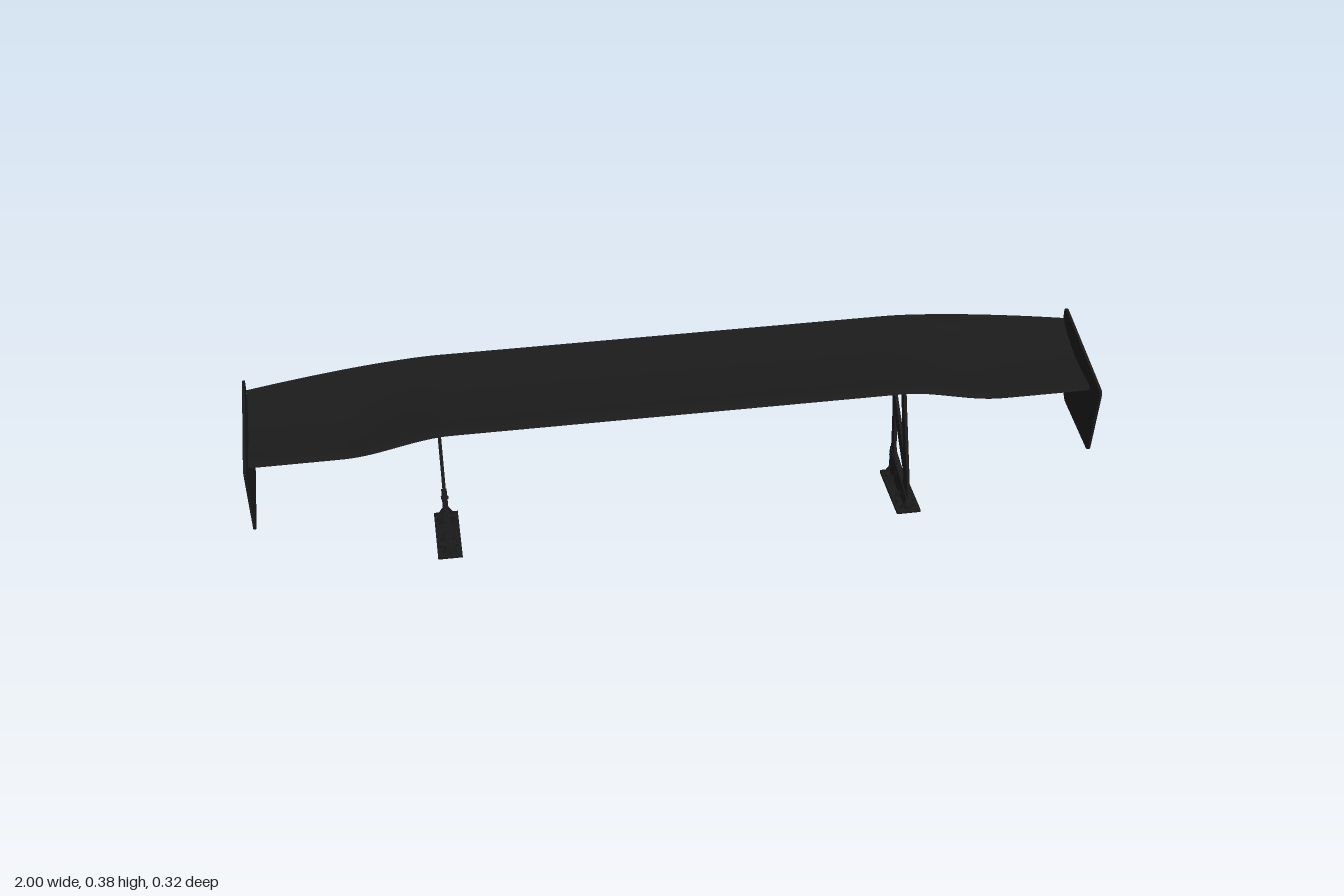
import * as THREE from 'three';
import { toCreasedNormals } from 'three/addons/utils/BufferGeometryUtils.js';

const material = new THREE.MeshStandardMaterial({ color: 0x1a1a1a, side: THREE.DoubleSide });

function addMesh(parent, name, geometry) {
  const mesh = new THREE.Mesh(geometry, material);
  mesh.name = name;
  parent.add(mesh);
  return mesh;
}

// Traces a polygon of [z, y, radius] corners with rounded corners.
function roundedOutline(path, corners) {
  const pts = corners.map(([z, y]) => new THREE.Vector2(-z, y));
  const n = pts.length;
  pts.forEach((p, i) => {
    const r = corners[i][2] ?? 0.004;
    const toward = (q) => p.clone().add(q.clone().sub(p).setLength(Math.min(r, q.distanceTo(p) * 0.48)));
    const a = toward(pts[(i + n - 1) % n]);
    const b = toward(pts[(i + 1) % n]);
    if (i === 0) path.moveTo(a.x, a.y);
    else path.lineTo(a.x, a.y);
    path.quadraticCurveTo(p.x, p.y, b.x, b.y);
  });
  path.closePath();
  return path;
}

// Side-on plate, centred on x = 0.
function plate(corners, thickness, holes = []) {
  const shape = roundedOutline(new THREE.Shape(), corners);
  holes.forEach((h) => shape.holes.push(roundedOutline(new THREE.Path(), h)));
  const g = new THREE.ExtrudeGeometry(shape, { depth: thickness, bevelEnabled: false, curveSegments: 8 });
  g.translate(0, 0, -thickness / 2);
  g.rotateY(Math.PI / 2);
  return toCreasedNormals(g, 0.6);
}

// Wing: one cambered section lofted along the span, drooping towards the tips.
function wingGeometry() {
  const curve = (list) => new THREE.SplineCurve(list.map(([z, y]) => new THREE.Vector2(z, y)));
  const top = curve([[0.1, 0.334], [0.085, 0.342], [0.03, 0.342], [-0.04, 0.347], [-0.1, 0.36], [-0.135, 0.373], [-0.152, 0.385]]);
  const under = curve([[-0.157, 0.381], [-0.137, 0.352], [-0.11, 0.338], [-0.05, 0.326], [0.02, 0.322], [0.08, 0.324], [0.1, 0.334]]);
  const section = [...top.getPoints(24), ...under.getPoints(24).slice(0, -1)];
  const n = section.length;
  const spans = 80;
  const halfSpan = 0.992;
  const pos = [];
  const index = [];
  for (let i = 0; i <= spans; i++) {
    const x = -halfSpan + (2 * halfSpan * i) / spans;
    const out = Math.max(0, (Math.abs(x) - 0.55) / (halfSpan - 0.55));
    const leadDrop = 0.039 * THREE.MathUtils.smoothstep(Math.abs(x), 0.53, 0.78);
    const tailDrop = 0.037 * Math.pow(out, 1.5);
    const chord = 1 - 0.09 * Math.pow(out, 1.6);
    for (const p of section) {
      const t = (0.1 - p.x) / 0.257;
      pos.push(x, p.y - THREE.MathUtils.lerp(leadDrop, tailDrop, t * t), 0.1 - (0.1 - p.x) * chord);
    }
  }
  for (let i = 0; i < spans; i++) {
    for (let j = 0; j < n; j++) {
      const a = i * n + j;
      const b = i * n + ((j + 1) % n);
      index.push(a, a + n, b, b, a + n, b + n);
    }
  }
  const g = new THREE.BufferGeometry();
  g.setAttribute('position', new THREE.Float32BufferAttribute(pos, 3));
  // Winding runs from the leading edge over the top, so faces are flipped outward here.
  for (let k = 0; k < index.length; k += 3) [index[k + 1], index[k + 2]] = [index[k + 2], index[k + 1]];
  g.setIndex(index);
  return toCreasedNormals(g, 0.7);
}

// Support leg with two cut-outs, clamped in a bolted foot.
function createSupport() {
  const support = new THREE.Group();
  const leg = [
    [0.153, 0.018], [0.15, 0.038, 0.012], [0.105, 0.14, 0.01], [0.04, 0.285, 0.02], [0.03, 0.332],
    [-0.09, 0.34], [-0.085, 0.305, 0.03], [-0.045, 0.18, 0.08], [-0.033, 0.09, 0.03], [-0.025, 0.005],
  ];
  const lowerHole = [[0.097, 0.083, 0.012], [0.09, 0.057, 0.014], [-0.005, 0.078, 0.025], [-0.018, 0.15, 0.03], [-0.03, 0.187, 0.01]];
  const upperHole = [[0.072, 0.145, 0.012], [-0.045, 0.24, 0.012], [-0.06, 0.295, 0.015], [0.012, 0.29, 0.015]];
  addMesh(support, 'supportLeg', plate(leg, 0.007, [lowerHole, upperHole]));

  const clamp = [[0.152, 0.018], [0.147, 0.044, 0.01], [0.137, 0.052], [-0.032, 0.077], [-0.025, 0.005]];
  addMesh(support, 'footClamp', plate(clamp, 0.013));

  const base = [[0.155, 0.012, 0.002], [0.155, 0.02, 0.002], [-0.026, 0.008, 0.002], [-0.026, 0, 0.002]];
  addMesh(support, 'footPlate', plate(base, 0.058));

  // Triangular gussets and bolts on both sides of the foot.
  for (const z of [0.14, 0.09, 0.025, -0.015]) {
    const y = 0.012 + (z - 0.06) * 0.067;
    const tri = new THREE.Shape([[-0.022, 0], [0.022, 0], [0.006, 0.024], [-0.006, 0.024]].map(([a, b]) => new THREE.Vector2(a, b)));
    const gusset = new THREE.ExtrudeGeometry(tri, { depth: 0.004, bevelEnabled: false });
    addMesh(support, 'footGusset', gusset).position.set(0, y, z - 0.002);
  }
  for (const z of [0.115, 0.005]) {
    for (const side of [-1, 1]) {
      const bolt = addMesh(support, 'footBolt', new THREE.CylinderGeometry(0.005, 0.005, 0.008, 6));
      bolt.position.set(side * 0.019, 0.018 + (z - 0.06) * 0.067, z);
    }
  }
  for (const z of [0.11, 0.04, -0.02]) {
    const bolt = addMesh(support, 'clampBolt', new THREE.CylinderGeometry(0.004, 0.004, 0.018, 6));
    bolt.rotation.z = Math.PI / 2;
    bolt.position.set(0, 0.046 - (z - 0.06) * 0.14, z);
  }
  return support;
}

// Tip plate with its fixing bolts.
function createEndPlate(side) {
  const endPlate = new THREE.Group();
  const outline = [
    [0.161, 0.332, 0.014], [-0.132, 0.378, 0.012], [-0.137, 0.362, 0.012], [-0.12, 0.257, 0.03],
    [-0.075, 0.213, 0.03], [-0.06, 0.153, 0.016], [0.138, 0.139, 0.014],
  ];
  addMesh(endPlate, 'endPlatePanel', plate(outline, 0.006));
  for (const [z, y] of [[0.105, 0.278], [0.042, 0.285], [-0.03, 0.3]]) {
    const bolt = addMesh(endPlate, 'endPlateBolt', new THREE.CylinderGeometry(0.004, 0.004, 0.004, 10));
    bolt.rotation.z = Math.PI / 2;
    bolt.position.set(side * 0.002, y, z);
  }
  return endPlate;
}

export function createModel() {
  const model = new THREE.Group();
  model.name = 'rearWing';
  addMesh(model, 'wingBlade', wingGeometry());
  for (const side of [-1, 1]) {
    const label = side > 0 ? 'left' : 'right';
    const support = createSupport();
    support.name = label + 'Support';
    support.position.x = side * 0.555;
    const endPlate = createEndPlate(side);
    endPlate.name = label + 'EndPlate';
    endPlate.position.x = side * 0.996;
    model.add(support, endPlate);
  }
  return model;
}
